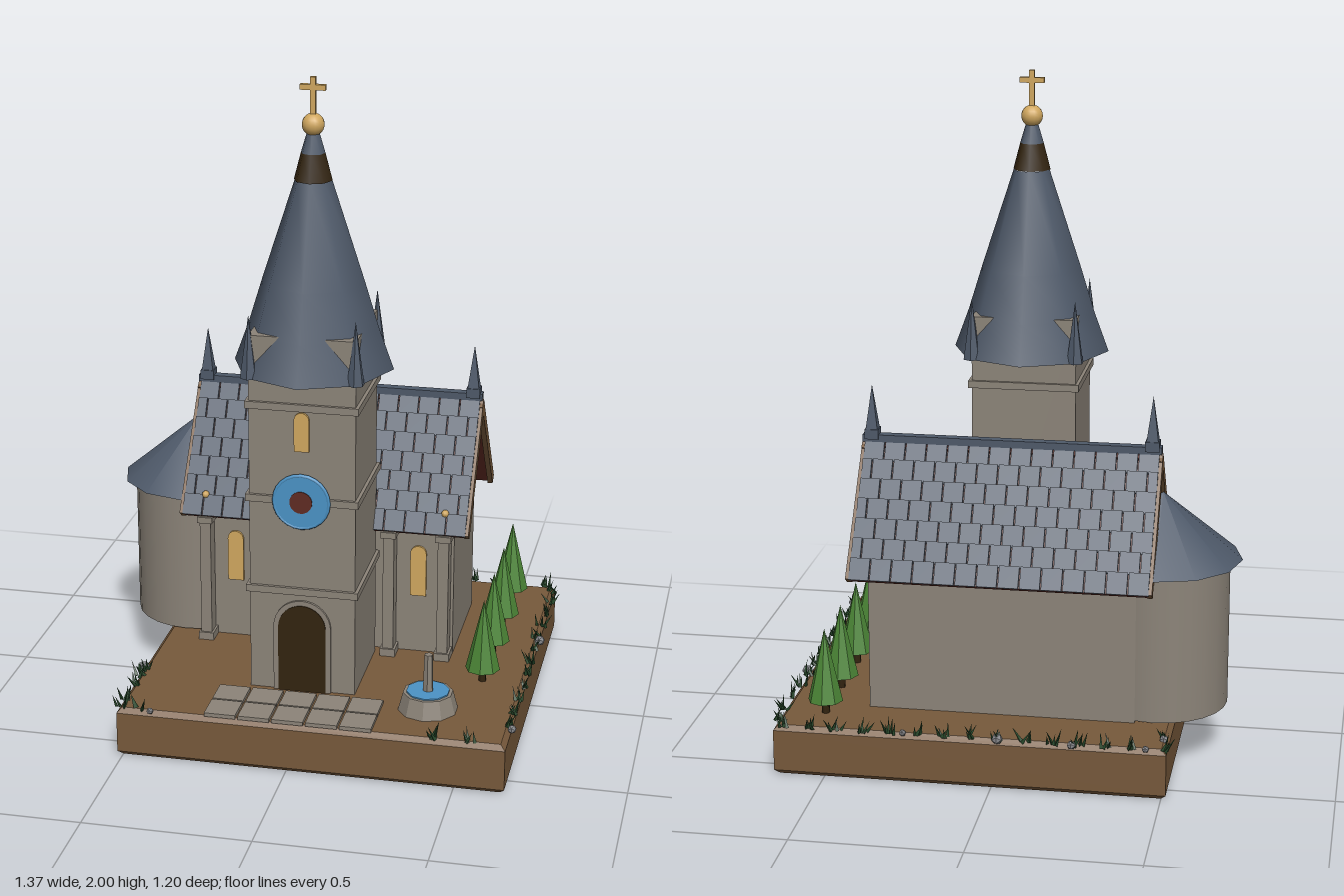
import * as THREE from 'three';
import { mergeGeometries } from 'three/addons/utils/BufferGeometryUtils.js';

const mat = (name, color) => {
  const m = new THREE.MeshStandardMaterial({ color });
  m.name = name;
  return m;
};

export function createModel() {
  const M = {
    earth: mat('earth brown', 0x77593b), stone: mat('stone', 0x8c8479),
    slate: mat('slate', 0x4e5969), dark: mat('dark wood', 0x33240f),
    gold: mat('gold', 0xd0a75f), blue: mat('blue', 0x4b93c6),
    red: mat('red wood', 0x5f2b22), leaf: mat('tree green', 0x4b8536),
    grass: mat('dark grass', 0x27482a), rock: mat('grey rock', 0x85868a),
  };
  const root = new THREE.Group();
  root.name = 'chapel';
  const add = (name, geo, m, x = 0, y = 0, z = 0, parent = root) => {
    const mesh = new THREE.Mesh(geo, m);
    mesh.name = name;
    mesh.position.set(x, y, z);
    parent.add(mesh);
    return mesh;
  };
  const box = (w, h, d) => new THREE.BoxGeometry(w, h, d);
  const cyl = (rt, rb, h, n) => new THREE.CylinderGeometry(rt, rb, h, n);
  const flat = (geo) => {
    const g = geo.index ? geo.toNonIndexed() : geo;
    g.computeVertexNormals();
    return g;
  };
  let seed = 7;
  const rnd = () => (seed = (seed * 16807) % 2147483647) / 2147483647;
  const G = 0.155; // ground level

  // Chamfered earth base
  const b = 0.015, w = 1.165 / 2 - b;
  const square = new THREE.Shape([[-w, -w], [w, -w], [w, w], [-w, w]].map((p) => new THREE.Vector2(...p)));
  const baseGeo = new THREE.ExtrudeGeometry(square, {
    depth: G - 2 * b, bevelEnabled: true, bevelThickness: b, bevelSize: b, bevelSegments: 1,
  });
  baseGeo.rotateX(-Math.PI / 2);
  add('base', baseGeo, M.earth, 0.068, b, 0.006);

  // Arched plate standing on y = 0, facing +z
  const arch = (width, height, depth) => {
    const r = width / 2;
    const s = new THREE.Shape();
    s.moveTo(-r, 0);
    s.lineTo(r, 0);
    s.lineTo(r, height - r);
    s.absarc(0, height - r, r, 0, Math.PI, false);
    s.closePath();
    return new THREE.ExtrudeGeometry(s, { depth, bevelEnabled: false, curveSegments: 8 });
  };

  // Tower with string courses
  const TZ = 0.19;
  add('tower', box(0.32, 1.27 - G, 0.32), M.stone, 0, (1.27 + G) / 2, TZ);
  for (const y of [0.48, 0.77, 1.06]) add('towerBand', box(0.34, 0.022, 0.34), M.stone, 0, y, TZ);
  add('doorFrame', arch(0.175, 0.295, 0.008), M.stone, 0, G, 0.35);
  add('door', arch(0.145, 0.28, 0.007), M.dark, 0, G, 0.354);
  add('towerWindow', arch(0.045, 0.12, 0.008), M.gold, 0, 0.925, 0.35);

  // Round window
  const disc = (r, h) => cyl(r, r, h, 24).rotateX(Math.PI / 2);
  add('roseGlass', disc(0.08, 0.016), M.blue, 0, 0.77, 0.359);
  add('roseCentre', disc(0.034, 0.008), M.red, 0, 0.77, 0.366);
  add('roseRim', new THREE.TorusGeometry(0.082, 0.006, 6, 24), M.blue, 0, 0.77, 0.362);

  // Eight-sided spire
  const lathe = (pts) => new THREE.LatheGeometry(pts.map((p) => new THREE.Vector2(...p)), 8);
  add('spire', lathe([[0.24, 1.14], [0.196, 1.26], [0.153, 1.4], [0.055, 1.7]]), M.slate, 0, 0, TZ - 0.005);
  add('spireSoffit', new THREE.CircleGeometry(0.24, 8).rotateX(Math.PI / 2), M.slate, 0, 1.14, TZ - 0.005);
  add('spireBand', lathe([[0.057, 1.7], [0.036, 1.78]]), M.dark, 0, 0, TZ);
  add('spireTip', lathe([[0.036, 1.78], [0.012, 1.86]]), M.slate, 0, 0, TZ);
  add('finialBall', new THREE.SphereGeometry(0.033, 16, 12), M.gold, 0, 1.862, TZ);
  add('crossPost', box(0.016, 0.12, 0.016), M.gold, 0, 1.94, TZ);
  add('crossArm', box(0.075, 0.016, 0.016), M.gold, 0, 1.97, TZ);
  for (const sx of [-1, 1]) for (const sz of [-1, 1]) {
    add('cornerPinnacle', flat(new THREE.ConeGeometry(0.027, 0.19, 6)), M.slate, sx * 0.158, 1.235, TZ - 0.005 + sz * 0.162);
  }

  // Nave: gabled cross-section extruded along x
  const RZ = -0.19;
  const gable = new THREE.Shape([[-0.195, G], [0.195, G], [0.195, 0.63], [0, 0.89], [-0.195, 0.63]]
    .map((p) => new THREE.Vector2(...p)));
  const naveGeo = new THREE.ExtrudeGeometry(gable, { depth: 0.8, bevelEnabled: false });
  naveGeo.rotateY(Math.PI / 2);
  add('nave', naveGeo, M.stone, -0.4, 0, RZ);

  // Roof slopes: boards, edge rafters and staggered slates
  const pitch = Math.atan2(0.35, 0.26), slope = 0.436, rows = 7, cols = 14, tw = 0.89 / cols;
  for (const side of [0, 1]) {
    const g = new THREE.Group();
    g.name = side ? 'backRoof' : 'frontRoof';
    g.rotation.order = 'YXZ';
    g.rotation.set(pitch, side * Math.PI, 0);
    g.position.set(0, 0.93, RZ);
    root.add(g);
    add('roofBoards', box(0.88, 0.016, slope), M.red, 0, -0.012, slope / 2, g);
    for (const s of [-1, 1]) add('edgeRafter', box(0.016, 0.032, slope), M.earth, s * 0.445, -0.012, slope / 2, g);
    const tiles = [];
    for (let r = 0; r < rows; r++) {
      const odd = r % 2;
      for (let c = 0; c < cols + odd; c++) {
        const half = odd && (c === 0 || c === cols);
        let x = -0.445 + (c + 0.5 - odd * 0.5) * tw;
        if (half) x += (c === 0 ? 1 : -1) * tw / 4;
        const t = box((half ? tw / 2 : tw) - 0.004, 0.01, slope / rows + 0.004);
        t.rotateX(0.1 + rnd() * 0.03);
        t.translate(x, 0.004, (r + 0.5) * slope / rows);
        tiles.push(t);
      }
    }
    add('slates', mergeGeometries(tiles), M.slate, 0, 0, 0, g);
  }
  add('ridgeCap', box(0.9, 0.022, 0.03), M.slate, 0, 0.942, RZ);
  for (const s of [-1, 1]) {
    add('ridgePinnacleBase', box(0.042, 0.03, 0.042), M.slate, s * 0.422, 0.955, RZ);
    add('ridgePinnacle', flat(new THREE.ConeGeometry(0.026, 0.14, 4).rotateY(Math.PI / 4)), M.slate, s * 0.422, 1.035, RZ);
    add('gablePost', box(0.02, 0.14, 0.025), M.stone, s * 0.425, 0.86, RZ);
  }

  // Front windows and pillars
  for (const s of [-1, 1]) {
    add('naveWindow', arch(0.05, 0.165, 0.008), M.gold, s * 0.29, 0.345, 0.005);
    for (const px of [0.205, 0.375]) {
      add('pillar', box(0.034, 0.42, 0.05), M.stone, s * px, G + 0.21, 0.035);
      add('pillarFoot', box(0.048, 0.025, 0.06), M.stone, s * px, G + 0.012, 0.037);
      add('pillarHead', box(0.048, 0.02, 0.06), M.stone, s * px, 0.56, 0.037);
    }
    add('pillarStud', new THREE.SphereGeometry(0.012, 8, 6), M.gold, s * 0.376, 0.637, 0.04);
  }

  // Round apse at the side
  add('apseWall', cyl(0.203, 0.203, 0.455, 24), M.stone, -0.455, 0.39, RZ);
  add('apseRoof', new THREE.ConeGeometry(0.24, 0.2, 12), M.slate, -0.455, 0.715, RZ);

  // Paving
  for (let i = 0; i < 5; i++) for (let j = 0; j < 2; j++) {
    add('pavingSlab', box(0.094, 0.012, 0.094), M.stone, -0.2 + i * 0.102, G + 0.005, 0.434 + j * 0.1);
  }

  // Fountain
  add('basin', flat(cyl(0.075, 0.09, 0.056, 10)), M.stone, 0.39, G + 0.028, 0.39);
  add('water', cyl(0.065, 0.065, 0.006, 10), M.blue, 0.39, G + 0.057, 0.39);
  add('fountainPost', flat(cyl(0.013, 0.018, 0.175, 6)), M.stone, 0.39, G + 0.088, 0.39);

  // Row of trees
  for (const z of [-0.45, -0.245, -0.037, 0.17]) {
    add('treeTrunk', cyl(0.012, 0.012, 0.05, 6), M.dark, 0.52, G + 0.022, z);
    add('treeCrown', flat(new THREE.ConeGeometry(0.053, 0.225, 8)), M.leaf, 0.52, 0.308, z);
  }

  // Grass tufts along the edges
  const blades = [];
  const tuft = (x, z) => {
    for (let i = 0; i < 5; i++) {
      const h = 0.03 + rnd() * 0.025;
      const blade = new THREE.ConeGeometry(0.006, h, 3);
      blade.translate(0, h / 2, 0);
      blade.rotateZ(0.2 + rnd() * 0.5);
      blade.rotateY(rnd() * Math.PI * 2);
      blade.translate(x + (rnd() - 0.5) * 0.03, G - 0.003, z + (rnd() - 0.5) * 0.02);
      blades.push(blade);
    }
  };
  for (let i = 0; i < 15; i++) {
    tuft(-0.5 + i * 0.08, -0.572);
    if (i < 12) tuft(0.645, -0.53 + i * 0.09);
  }
  for (const z of [-0.49, 0.32, 0.36, 0.42, 0.52, 0.57]) tuft(-0.505, z);
  for (const x of [-0.45, 0.43, 0.55]) tuft(x, 0.575);
  add('grass', flat(mergeGeometries(blades)), M.grass);

  // Small rocks around the rim
  const rocks = [[-0.455, -0.58], [-0.24, -0.585], [-0.02, -0.575], [0.26, -0.575], [-0.5, -0.5],
    [-0.51, 0.3], [-0.41, 0.59], [0.655, 0.48], [0.655, -0.14]];
  rocks.forEach(([x, z], i) => {
    add('rock', new THREE.IcosahedronGeometry(0.011 + (i % 3) * 0.003, 0), M.rock, x, G + 0.004, z);
  });
  return root;
}
